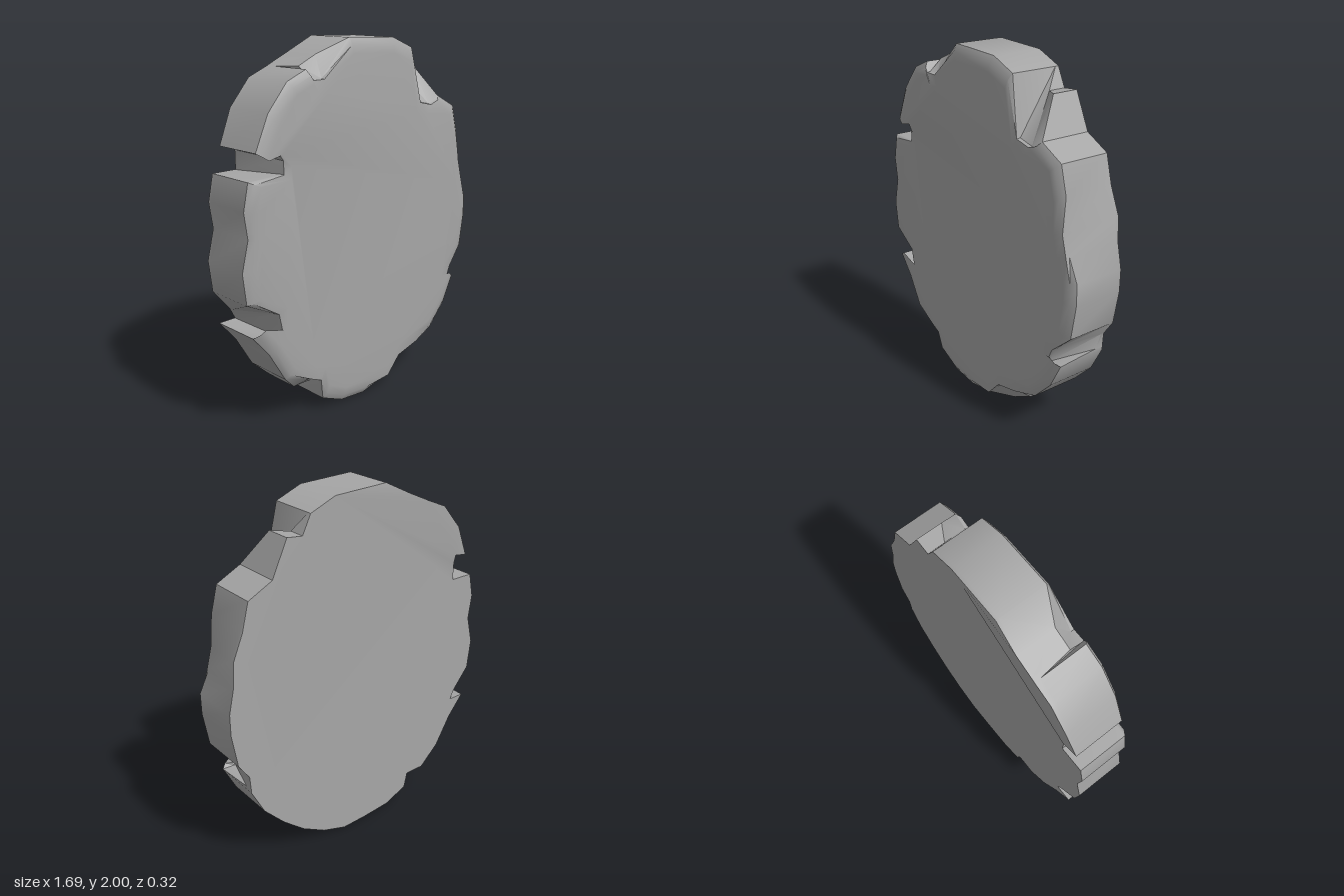
import * as THREE from 'three';
import { toCreasedNormals } from 'three/addons/utils/BufferGeometryUtils.js';

// Clockwise outline seen from the front: x, y, then for chipped columns the
// front x, y and the depth z at which the chip starts (default: the back).
const outline = [
  [-0.14, 2], [0.18, 1.99], [0.33, 1.93],
  // deep upper chip
  [0.38, 1.83, 0.395, 1.63, -0.05], [0.47, 1.84, 0.485, 1.61, 0],
  [0.56, 1.65], [0.7, 1.58], [0.74, 1.43],
  // worn side
  [0.8, 1.29, 0.75, 1.25], [0.81, 1.15, 0.78, 1.14], [0.84, 1.02],
  [0.84, 0.9], [0.81, 0.71],
  // side dent
  [0.75, 0.62, 0.7, 0.6], [0.745, 0.54, 0.665, 0.515, -0.1], [0.745, 0.52],
  [0.67, 0.37], [0.55, 0.24],
  // bottom chip
  [0.42, 0.13, 0.4, 0.19, 0.06], [0.28, 0.05, 0.25, 0.15, 0.06], [0.13, 0, 0.16, 0.05, 0.06],
  [-0.03, 0.005], [-0.2, 0.02], [-0.34, 0.08],
  // lower left step
  [-0.36, 0.17, -0.37, 0.2, 0.06], [-0.48, 0.17, -0.44, 0.23, 0.06],
  [-0.6, 0.28], [-0.7, 0.45], [-0.8, 0.57],
  // lower left notch
  [-0.7, 0.57, -0.62, 0.52], [-0.73, 0.63, -0.65, 0.66],
  [-0.83, 0.75], [-0.85, 0.92], [-0.81, 1.08], [-0.83, 1.22], [-0.8, 1.36],
  // upper left notch
  [-0.66, 1.36, -0.6, 1.37], [-0.66, 1.46, -0.6, 1.44], [-0.66, 1.51],
  [-0.75, 1.49], [-0.67, 1.67], [-0.55, 1.81], [-0.43, 1.86],
  // small top chip
  [-0.41, 1.87, -0.4, 1.81, 0.06], [-0.3, 1.92, -0.33, 1.81, 0.06],
];

const BACK = -0.147, RIM = 0.137, FACE = 0.163;

// Cross-section of one column, from the middle of the front face to the back
function column([x, y, fx = x, fy = y, chip = BACK + 0.02]) {
  const chipped = fx !== x || fy !== y;
  const inset = (s, z) => new THREE.Vector3(fx * s, 1 + (fy - 1) * s, z);
  const back = x < -0.2 && y > 1.5 ? BACK - 0.012 : BACK;
  return [
    inset(0.92, FACE),
    inset(chipped ? 0.995 : 0.965, FACE - 0.006),
    inset(1, RIM),
    new THREE.Vector3(x, y, chip),
    new THREE.Vector3(x, y, back),
  ];
}

function stoneGeometry() {
  const columns = outline.map(column);
  const n = columns.length;
  const positions = [];
  const tri = (...points) => points.forEach((p) => positions.push(p.x, p.y, p.z));

  // Bevel and side wall
  columns.forEach((a, i) => {
    const b = columns[(i + 1) % n];
    for (let k = 0; k < a.length - 1; k++) {
      tri(a[k], b[k], a[k + 1]);
      tri(b[k], b[k + 1], a[k + 1]);
    }
  });

  // Front and back faces
  const cap = (ring, facing) => {
    const contour = ring.map((p) => new THREE.Vector2(p.x, p.y)).reverse();
    const points = [...ring].reverse();
    for (const [i, j, k] of THREE.ShapeUtils.triangulateShape(contour, [])) {
      const [a, b, c] = [points[i], points[j], points[k]];
      const turn = (b.x - a.x) * (c.y - a.y) - (b.y - a.y) * (c.x - a.x);
      if (turn * facing > 0) tri(a, b, c);
      else tri(a, c, b);
    }
  };
  cap(columns.map((c) => c[0]), 1);
  cap(columns.map((c) => c[4]), -1);

  const geometry = new THREE.BufferGeometry();
  geometry.setAttribute('position', new THREE.Float32BufferAttribute(positions, 3));
  return toCreasedNormals(geometry, 0.6);
}

export function createModel() {
  const stone = new THREE.MeshStandardMaterial({ color: 0xa6a6a6 });
  stone.name = 'grey stone';
  const disc = new THREE.Mesh(stoneGeometry(), stone);
  disc.name = 'chippedStoneDisc';
  const group = new THREE.Group();
  group.name = 'stoneSlab';
  group.add(disc);
  return group;
}
